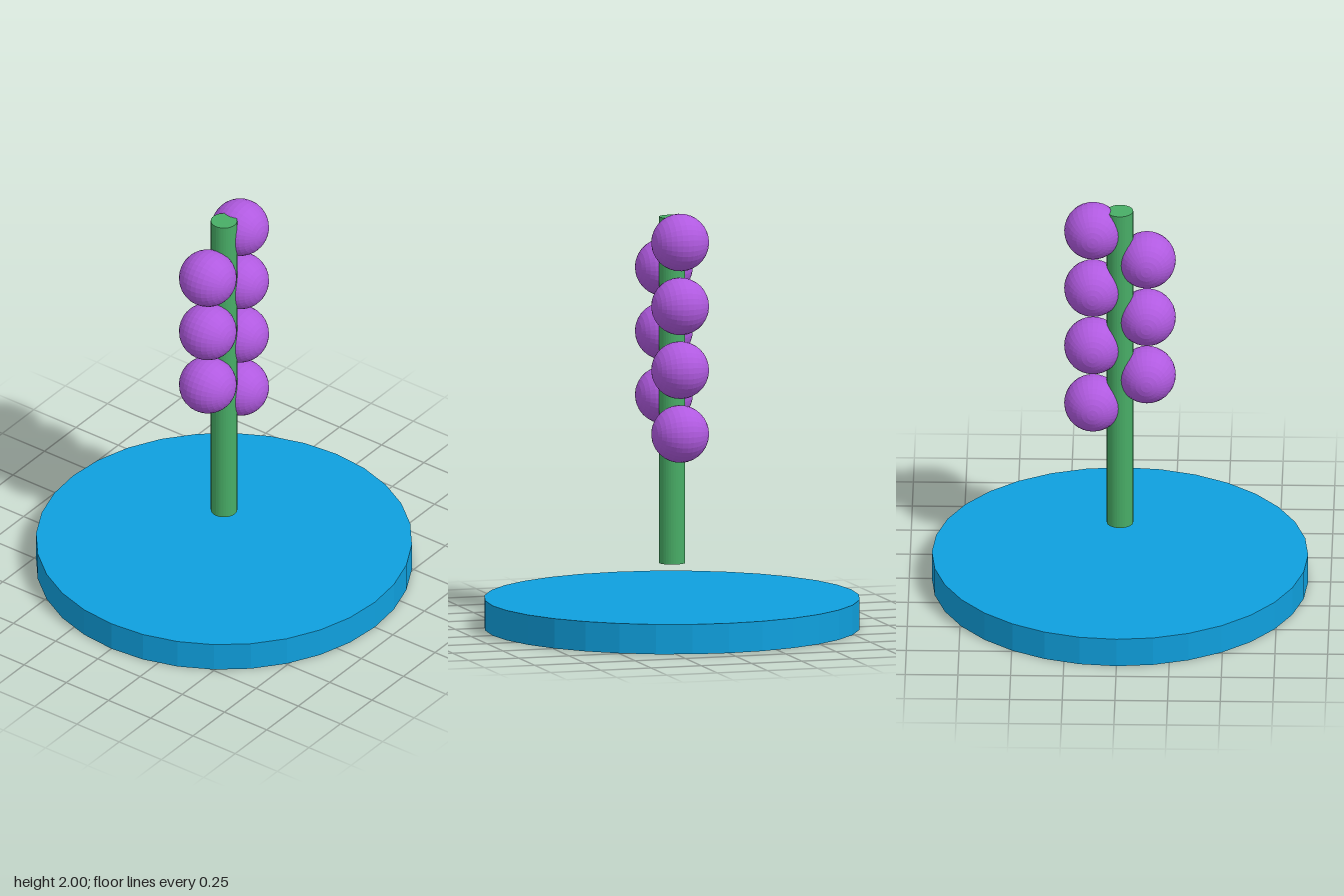
import * as THREE from 'three';

const flat = (name, color) => {
  const m = new THREE.MeshStandardMaterial({ color, flatShading: true });
  m.name = name;
  return m;
};

export function createModel() {
  const group = new THREE.Group();
  const blue = flat('blue', 0x0fa0de);
  const green = flat('green', 0x48ad66);
  const purple = flat('purple', 0xb05ae0);

  const add = (name, geometry, material, x, y) => {
    const mesh = new THREE.Mesh(geometry, material);
    mesh.name = name;
    mesh.position.set(x, y, 0);
    group.add(mesh);
  };

  // Round base, with the stem floating above it
  add('base', new THREE.CylinderGeometry(0.893, 0.893, 0.143, 32), blue, 0, 0.0715);
  add('stem', new THREE.CylinderGeometry(0.063, 0.063, 1.66, 32), green, 0, 1.14);

  // Balls alternate from side to side up the stem, poles facing front and back
  const ball = new THREE.SphereGeometry(0.137, 32, 16).rotateX(Math.PI / 2);
  for (let i = 0; i < 7; i++) {
    const side = i % 2 ? -1 : 1;
    add(side > 0 ? 'leftBall' : 'rightBall', ball, purple, side * 0.128, 0.945 + i * 0.153);
  }
  return group;
}
